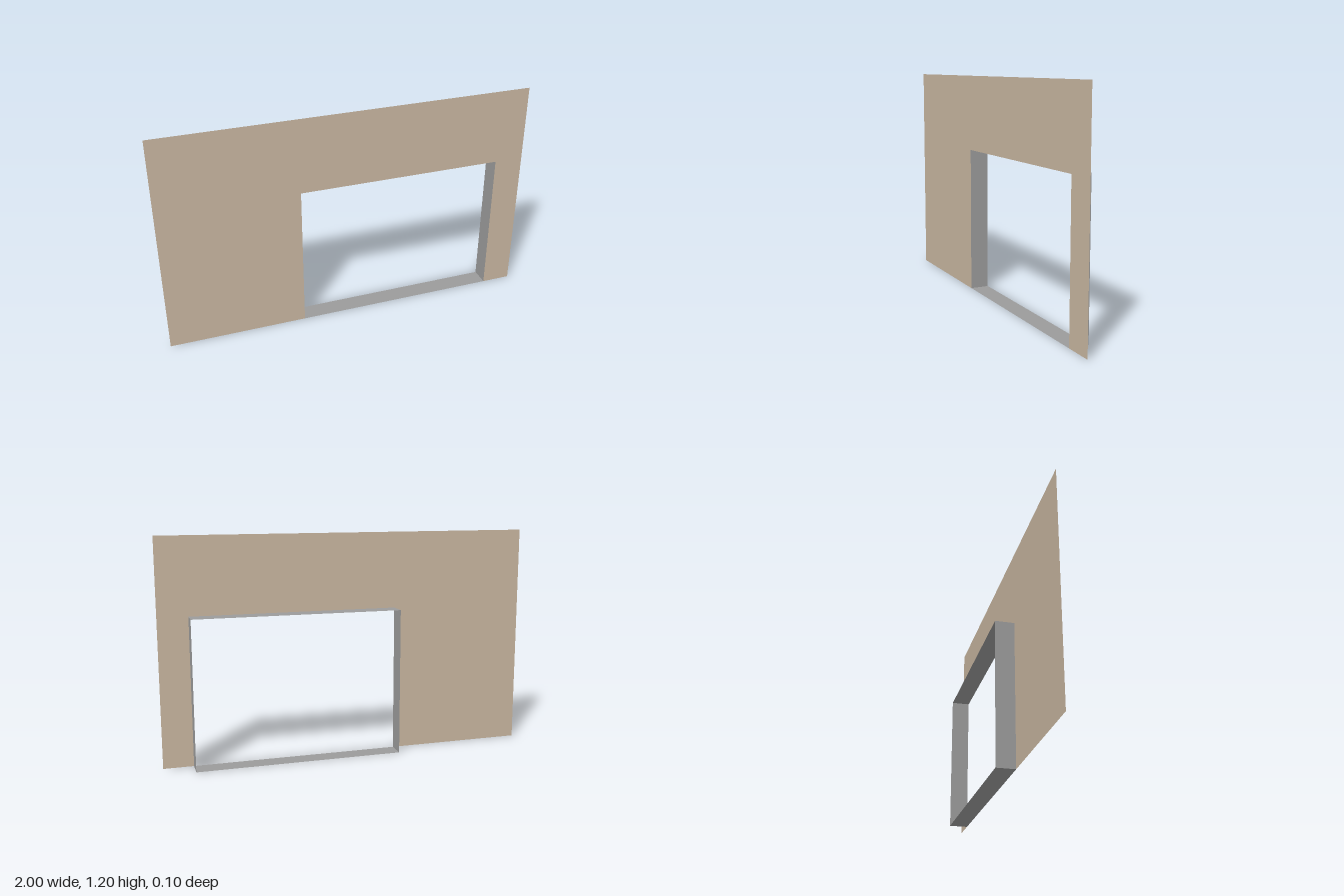
import * as THREE from 'three';

export function createModel() {
  const model = new THREE.Group();
  model.name = 'wallWithOpening';

  const wallPaint = new THREE.MeshStandardMaterial({ color: 0xc8b6a0, side: THREE.DoubleSide });
  wallPaint.name = 'beige wall';
  const liningGrey = new THREE.MeshStandardMaterial({ color: 0x9b9b9b, side: THREE.DoubleSide });
  liningGrey.name = 'grey lining';

  const halfWidth = 1, height = 1.197;
  const left = -0.26, right = 0.842, top = 0.789; // opening edges
  const depth = 0.102;

  // Thin wall sheet, notched by the opening
  const outline = new THREE.Shape([
    [-halfWidth, 0], [left, 0], [left, top], [right, top],
    [right, 0], [halfWidth, 0], [halfWidth, height], [-halfWidth, height],
  ].map(([x, y]) => new THREE.Vector2(x, y)));
  const wall = new THREE.Mesh(new THREE.ShapeGeometry(outline), wallPaint);
  wall.name = 'wall';
  wall.position.z = depth / 2;
  model.add(wall);

  // Sheets lining the four sides of the opening, behind the wall
  const lining = new THREE.Group();
  lining.name = 'openingLining';
  const addSheet = (name, width, tall, x, y, rx, ry) => {
    const sheet = new THREE.Mesh(new THREE.PlaneGeometry(width, tall), liningGrey);
    sheet.name = name;
    sheet.position.set(x, y, 0);
    sheet.rotation.set(rx, ry, 0);
    lining.add(sheet);
  };
  const midX = (left + right) / 2, span = right - left;
  addSheet('sill', span, depth, midX, 0, -Math.PI / 2, 0);
  addSheet('head', span, depth, midX, top, -Math.PI / 2, 0);
  addSheet('rightJamb', depth, top, left, top / 2, 0, -Math.PI / 2);
  addSheet('leftJamb', depth, top, right, top / 2, 0, Math.PI / 2);
  model.add(lining);

  return model;
}
